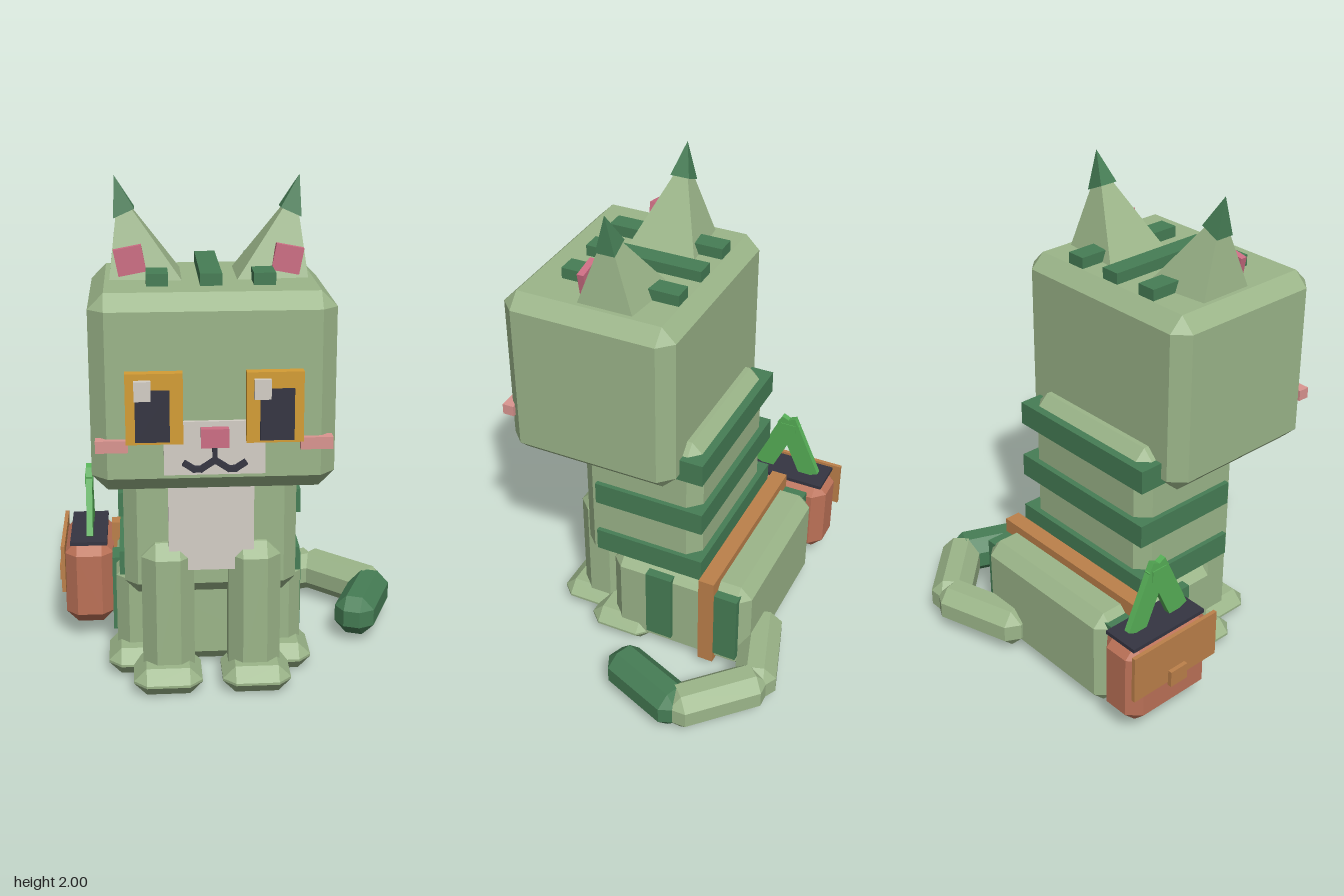
import * as THREE from 'three';
import { ConvexGeometry } from 'three/addons/geometries/ConvexGeometry.js';

const mat = (name, color) => {
  const m = new THREE.MeshStandardMaterial({ color });
  m.name = name;
  return m;
};

// Box with every edge cut flat by c
function chamferBox(w, h, d, c) {
  if (!c) return new THREE.BoxGeometry(w, h, d);
  const x = w / 2, y = h / 2, z = d / 2, pts = [];
  for (const i of [-1, 1]) for (const j of [-1, 1]) for (const k of [-1, 1]) {
    pts.push(new THREE.Vector3(i * x, j * (y - c), k * (z - c)));
    pts.push(new THREE.Vector3(i * (x - c), j * y, k * (z - c)));
    pts.push(new THREE.Vector3(i * (x - c), j * (y - c), k * z));
  }
  return new ConvexGeometry(pts);
}

export function createModel() {
  const fur = mat('sage fur', 0x9bb589);
  const stripe = mat('dark green', 0x467d55);
  const amber = mat('amber', 0xd49d35);
  const ink = mat('ink', 0x353542);
  const cream = mat('cream', 0xd4cec6);
  const pink = mat('pink', 0xcd6e84);
  const blush = mat('blush', 0xda9590);
  const clay = mat('clay leather', 0xbb7157);
  const tan = mat('tan leather', 0xbc804a);
  const leaf = mat('leaf green', 0x56ae56);

  const model = new THREE.Group();
  model.name = 'cat';
  const cat = new THREE.Group(); // symmetry plane of the cat
  cat.name = 'body';
  cat.position.x = -0.1;
  model.add(cat);

  const add = (name, geo, m, parent = cat) => {
    const mesh = new THREE.Mesh(geo, m);
    mesh.name = name;
    parent.add(mesh);
    return mesh;
  };
  // Box given by its bounds
  const box = (name, m, x0, x1, y0, y1, z0, z1, c = 0) => {
    const mesh = add(name, chamferBox(Math.abs(x1 - x0), y1 - y0, z1 - z0, c), m);
    mesh.position.set((x0 + x1) / 2, (y0 + y1) / 2, (z0 + z1) / 2);
    return mesh;
  };
  const mid = (name, m, hx, ...rest) => box(name, m, -hx, hx, ...rest);
  const hull = (name, m, pts) =>
    add(name, new ConvexGeometry(pts.map((p) => new THREE.Vector3(...p))), m);

  // Head, torso and hips
  mid('head', fur, 0.445, 0.9, 1.63, -0.152, 0.567, 0.058);
  mid('torso', fur, 0.338, 0.375, 1.07, -0.225, 0.3, 0.052);
  mid('chest', cream, 0.165, 0.5, 0.95, 0.28, 0.34);
  mid('hips', fur, 0.375, 0.01, 0.44, -0.465, 0.16, 0.05);
  for (const y of [0.44, 0.685, 0.93]) mid('torsoStripe', stripe, 0.358, y, y + 0.097, -0.25, 0.225);
  mid('strap', tan, 0.397, 0.04, 0.475, -0.325, -0.257);

  // Face centre
  mid('muzzle', cream, 0.183, 0.975, 1.175, 0.56, 0.582);
  mid('nose', pink, 0.05, 1.085, 1.155, 0.57, 0.615);
  mid('mouthStem', ink, 0.009, 1.02, 1.09, 0.575, 0.603);
  mid('crownStripe', stripe, 0.04, 1.62, 1.675, -0.09, 0.4);

  for (const s of [-1, 1]) {
    const side = (name, m, x0, x1, ...rest) => box(name, m, s * x0, s * x1, ...rest);

    // Legs and paws
    side('frontLeg', fur, 0.067, 0.272, 0.03, 0.605, 0.165, 0.37, 0.055);
    side('frontPaw', fur, 0.04, 0.31, 0, 0.11, 0.18, 0.45, 0.05);
    side('hindPaw', fur, 0.15, 0.41, 0, 0.11, -0.02, 0.26, 0.05);
    side('hipStripe', stripe, 0.34, 0.393, 0.09, 0.412, -0.13, -0.015);
    side('hipStripe', stripe, 0.34, 0.393, 0.09, 0.412, -0.425, -0.32);

    // Eyes, with both highlights on the same side
    side('eye', amber, 0.113, 0.318, 1.1, 1.36, 0.56, 0.608);
    side('pupil', ink, 0.161, 0.284, 1.11, 1.3, 0.606, 0.615);
    const glint = box('eyeGlint', cream, -0.03, 0.03, 1.265, 1.337, 0.606, 0.63);
    glint.position.x = s * 0.213 - 0.044;

    // Cheeks and mouth strokes
    side('cheek', blush, 0.31, 0.428, 1.065, 1.11, 0.542, 0.59);
    const curve = [[0.005, 1.03], [0.05, 1.0], [0.075, 1.0], [0.108, 1.022]];
    for (let i = 0; i < curve.length - 1; i++) {
      const [x0, y0] = curve[i], [x1, y1] = curve[i + 1];
      const length = Math.hypot(x1 - x0, y1 - y0) + 0.012;
      const stroke = add('mouthStroke', new THREE.BoxGeometry(length, 0.02, 0.028), ink);
      stroke.position.set((s * (x0 + x1)) / 2, (y0 + y1) / 2, 0.589);
      stroke.rotation.z = s * Math.atan2(y1 - y0, x1 - x0);
    }

    // Ears with dark tips
    side('headStripe', stripe, 0.155, 0.235, 1.62, 1.675, -0.09, 0.4);
    hull('ear', fur, [
      [s * 0.37, 1.62, 0.03], [s * 0.37, 1.62, 0.265],
      [s * 0.095, 1.62, 0], [s * 0.095, 1.62, 0.295], [s * 0.33, 1.945, 0.148],
    ]);
    hull('earTip', stripe, [
      [s * 0.35, 1.845, 0.108], [s * 0.35, 1.845, 0.188],
      [s * 0.272, 1.88, 0.108], [s * 0.272, 1.88, 0.188], [s * 0.345, 2, 0.148],
    ]);
    const inner = add('innerEar', new THREE.BoxGeometry(0.105, 0.1, 0.028), pink);
    inner.position.set(s * 0.292, 1.7, 0.252);
    inner.rotation.z = -s * 0.19;
  }

  // Tail of three blocks curling forward
  const tailPath = [[0.17, -0.455], [0.5, -0.56], [0.745, -0.32], [0.625, -0.02]];
  for (let i = 0; i < 3; i++) {
    const [x0, z0] = tailPath[i], [x1, z1] = tailPath[i + 1];
    const length = Math.hypot(x1 - x0, z1 - z0) + 0.08;
    const part = add(i < 2 ? 'tail' : 'tailTip',
      chamferBox(0.17, 0.17, length, 0.05), i < 2 ? fur : stripe);
    part.position.set((x0 + x1) / 2, 0.113, (z0 + z1) / 2);
    part.rotation.y = Math.atan2(x1 - x0, z1 - z0);
  }

  // Side bag
  box('bag', clay, -0.595, -0.39, 0.075, 0.44, -0.5, -0.085, 0.05);
  box('bagOpening', ink, -0.57, -0.415, 0.43, 0.446, -0.48, -0.11);
  box('bagFlap', tan, -0.608, -0.592, 0.235, 0.44, -0.51, -0.08);
  box('bagClasp', tan, -0.625, -0.606, 0.22, 0.29, -0.335, -0.25);

  // Leaves leaning together in the bag
  for (const s of [-1, 1]) {
    const blade = add('leafBlade', new THREE.BoxGeometry(0.026, 0.29, 0.09), leaf);
    blade.position.set(-0.488, 0.575, -0.29 + s * 0.05);
    blade.rotation.x = -s * 0.43;
  }
  box('leafBud', leaf, -0.505, -0.472, 0.64, 0.69, -0.325, -0.255);

  return model;
}
